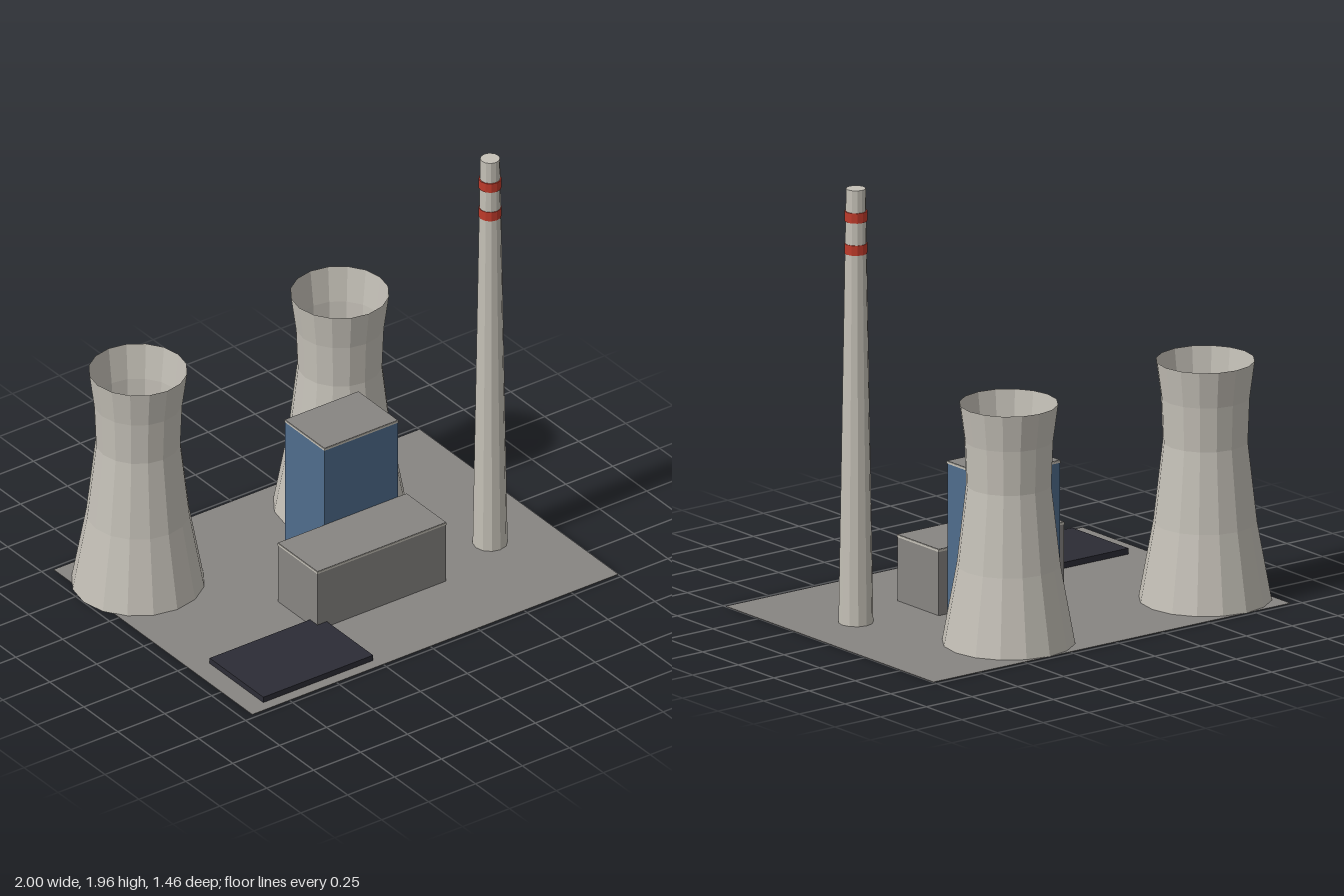
import * as THREE from 'three';

const mat = (name, color, side = THREE.FrontSide) => {
  const m = new THREE.MeshStandardMaterial({ color, side, flatShading: true });
  m.name = name;
  return m;
};

export function createModel() {
  const concrete = mat('concrete', 0xc4c0b6);
  const shell = mat('tower concrete', 0xc4c0b7, THREE.DoubleSide);
  const grey = mat('grey', 0x878582);
  const blue = mat('blue cladding', 0x4f6c8c);
  const red = mat('warning red', 0xbe3a2a);
  const coal = mat('coal', 0x2c2c35);

  const model = new THREE.Group();
  model.name = 'powerStation';

  const add = (name, geometry, material, x = 0, y = 0, z = 0, parent = model) => {
    const mesh = new THREE.Mesh(geometry, material);
    mesh.name = name;
    mesh.position.set(x, y, z);
    parent.add(mesh);
    return mesh;
  };
  // Box given by its minimum and maximum corners
  const box = (name, material, [x0, y0, z0], [x1, y1, z1], parent = model) =>
    add(name, new THREE.BoxGeometry(x1 - x0, y1 - y0, z1 - z0), material,
      (x0 + x1) / 2, (y0 + y1) / 2, (z0 + z1) / 2, parent);

  // Ground plate and coal yard
  box('ground', grey, [-0.95, 0, -0.73], [1, 0.003, 0.73]);
  box('coalYard', coal, [-0.855, 0.003, 0.285], [-0.27, 0.03, 0.68]);

  // Open cooling towers with a narrow throat
  const profile = [[0.29, 0], [0.226, 0.35], [0.185, 0.71], [0.193, 0.91], [0.215, 1.075]]
    .map(([r, y]) => new THREE.Vector2(r, y));
  const towerGeometry = new THREE.LatheGeometry(profile, 16);
  for (const [name, x] of [['rightCoolingTower', -0.71], ['leftCoolingTower', 0.365]]) {
    add(name, towerGeometry, shell, x, 0.001, -0.442);
  }

  // Buildings: walls, pale roof trim and grey roof sheet
  const building = (name, wall, x0, x1, z0, z1, h) => {
    const group = new THREE.Group();
    group.name = name;
    box('walls', wall, [x0, 0.003, z0], [x1, h - 0.012, z1], group);
    box('roofTrim', concrete, [x0 - 0.002, h - 0.012, z0 - 0.002], [x1 + 0.002, h - 0.002, z1 + 0.002], group);
    box('roofSheet', grey, [x0, h - 0.002, z0], [x1, h, z1], group);
    model.add(group);
  };
  building('turbineHall', grey, -0.32, 0.365, 0.05, 0.34, 0.302);
  building('boilerHouse', blue, -0.073, 0.318, -0.24, 0.05, 0.692);

  // Tapered chimney with two red bands
  const chimney = new THREE.Group();
  chimney.name = 'chimney';
  chimney.position.set(0.705, 0, 0.195);
  model.add(chimney);
  add('stack', new THREE.CylinderGeometry(0.043, 0.076, 1.955, 12), concrete, 0, 0.9775, 0, chimney);
  for (const y of [1.687, 1.832]) {
    add('warningBand', new THREE.CylinderGeometry(0.05, 0.05, 0.045, 12), red, 0, y, 0, chimney);
  }

  return model;
}
